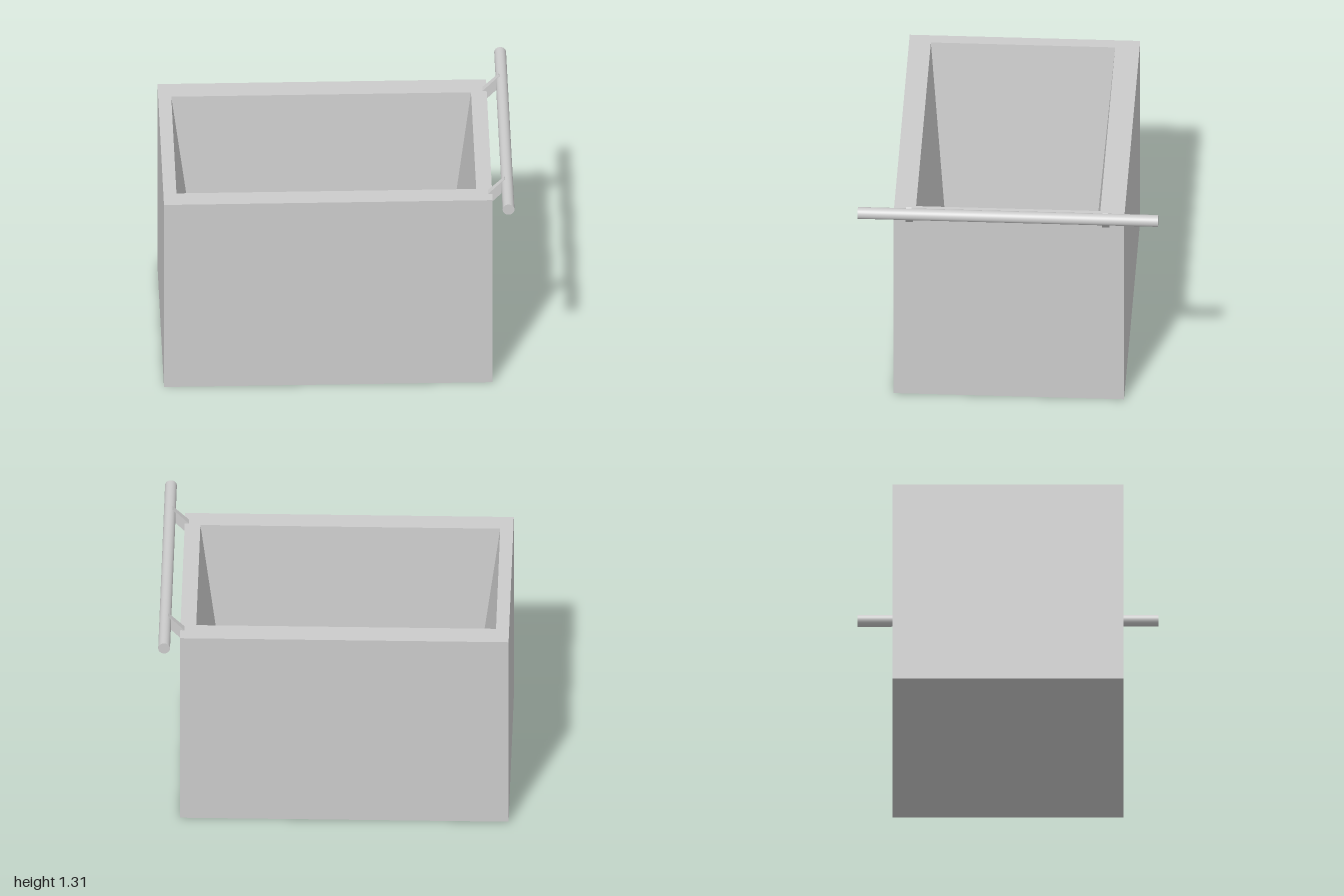
import * as THREE from 'three';

const grey = () => new THREE.MeshStandardMaterial({ color: 0xcccccc });

// Corners of a horizontal rectangle, counter-clockwise from above
const ring = (y, x0, x1, z0, z1) => [[x1, y, z1], [x1, y, z0], [x0, y, z0], [x0, y, z1]];

// Flat-sided solid skinned through four-cornered rings, capped at both ends
function skin(rings) {
  const pos = [];
  const quad = (a, b, c, d) => pos.push(...a, ...b, ...c, ...a, ...c, ...d);
  for (let k = 0; k < rings.length - 1; k++) {
    for (let i = 0; i < 4; i++) {
      const j = (i + 1) % 4;
      quad(rings[k][i], rings[k][j], rings[k + 1][j], rings[k + 1][i]);
    }
  }
  quad(...[...rings[0]].reverse());
  quad(...rings[rings.length - 1]);
  const g = new THREE.BufferGeometry();
  g.setAttribute('position', new THREE.Float32BufferAttribute(pos, 3));
  g.computeVertexNormals();
  return g;
}

function addMesh(parent, name, geometry) {
  const mesh = new THREE.Mesh(geometry, grey());
  mesh.name = name;
  parent.add(mesh);
  return mesh;
}

export function createModel() {
  const model = new THREE.Group();
  model.name = 'binWithHandle';

  // Open box: outer walls, flat rim, sloping inner walls, floor
  addMesh(model, 'bin', skin([
    ring(0, -1, 0.88, -0.66, 0.66),
    ring(1.222, -1, 0.88, -0.66, 0.66),
    ring(1.222, -0.925, 0.79, -0.52, 0.535),
    ring(0.12, -0.775, 0.64, -0.425, 0.445),
  ]));

  // Round push bar along the right end
  const bar = addMesh(model, 'handleBar', new THREE.CylinderGeometry(0.034, 0.034, 1.72, 32));
  bar.rotation.x = Math.PI / 2;
  bar.position.set(0.966, 1.28, 0);

  // Two tapered brackets leaning out at 45 degrees
  const bracket = skin([
    ring(0, -0.0265, 0.0265, -0.023, 0.023),
    ring(0.17, -0.0265, 0.0265, -0.016, 0.016),
  ]);
  for (const z of [0.57, -0.555]) {
    const mesh = addMesh(model, z > 0 ? 'frontBracket' : 'backBracket', bracket);
    mesh.position.set(0.848, 1.176, z);
    mesh.rotation.z = -Math.PI / 4;
  }

  return model;
}
